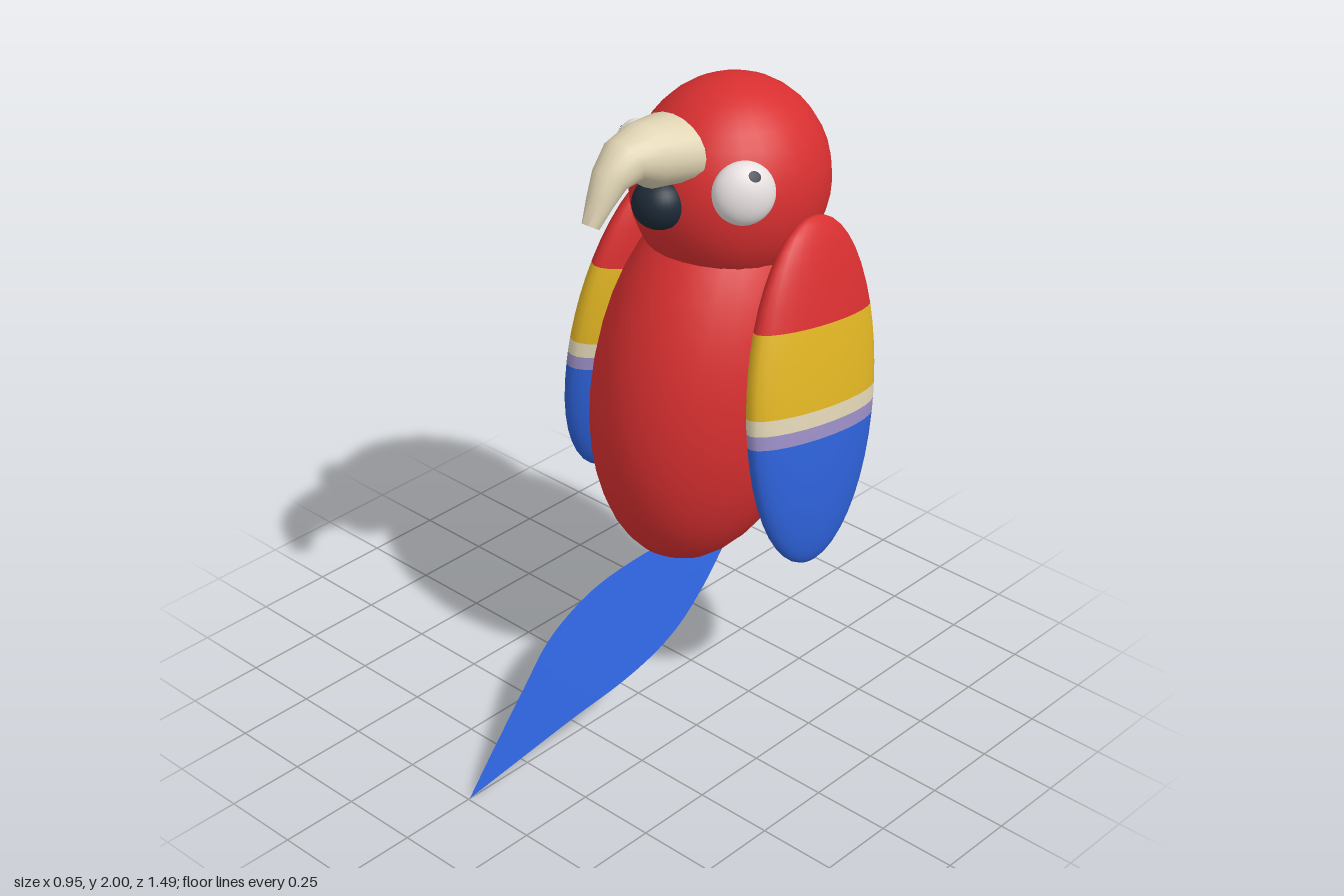
import * as THREE from 'three';
import { toCreasedNormals } from 'three/addons/utils/BufferGeometryUtils.js';

const mat = (name, color, side = THREE.FrontSide) => {
  const m = new THREE.MeshStandardMaterial({ color, side });
  m.name = name;
  return m;
};

export function createModel() {
  const red = mat('red feathers', 0xd82f30);
  const yellow = mat('yellow feathers', 0xe0b423);
  const cream = mat('cream', 0xe0d4b4);
  const lavender = mat('lavender feathers', 0x9a8ec4);
  const blue = mat('blue feathers', 0x2e62da);
  const tailBlue = mat('tail blue', 0x2e62da, THREE.DoubleSide);
  const white = mat('eye white', 0xe6dfdf);
  const dark = mat('dark slate', 0x1d2a38);

  const model = new THREE.Group();
  model.name = 'parrot';
  const add = (parent, name, geometry, material) => {
    const mesh = new THREE.Mesh(geometry, material);
    mesh.name = name;
    parent.add(mesh);
    return mesh;
  };
  const ball = new THREE.SphereGeometry(1, 28, 20);

  // Body leaning back, with the head resting on it
  const body = add(model, 'body', ball, red);
  body.position.set(0, 1.06, -0.325);
  body.scale.set(0.33, 0.622, 0.4);
  body.rotation.x = -0.262;
  const head = add(model, 'head', ball, red);
  head.position.set(0, 1.68, -0.4);
  head.scale.set(0.29, 0.322, 0.322);

  // Wings: ellipsoids cut into colour bands (upper limit of each band)
  const bands = [
    ['shoulderBand', 1, red], ['yellowBand', 0.43, yellow], ['creamBand', -0.04, cream],
    ['lavenderBand', -0.13, lavender], ['blueBand', -0.21, blue],
  ];
  for (const s of [1, -1]) {
    const wing = new THREE.Group();
    wing.name = s > 0 ? 'leftWing' : 'rightWing';
    bands.forEach(([name, top, material], i) => {
      const start = Math.acos(top);
      const end = Math.acos(i < 4 ? bands[i + 1][1] : -1);
      const rows = Math.max(2, Math.ceil((end - start) / 0.15));
      add(wing, name, new THREE.SphereGeometry(1, 28, rows, 0, Math.PI * 2, start, end - start), material);
    });
    wing.position.set(s * 0.36, 1.097, -0.375);
    wing.scale.set(0.09, 0.547, 0.284);
    wing.rotation.set(-0.14, 0, s * 0.132);
    model.add(wing);

    // Flattened eye with a thin pupil cap
    const eye = new THREE.Group();
    eye.name = s > 0 ? 'leftEye' : 'rightEye';
    const out = new THREE.Vector3(s * 0.8, 0.2, 0.55).normalize();
    eye.position.set(s * 0.222, 1.766, -0.205);
    eye.quaternion.setFromUnitVectors(new THREE.Vector3(0, 0, 1), out);
    eye.scale.set(0.095, 0.095, 0.058);
    add(eye, 'eyeball', ball, white);
    const pupil = add(eye, 'pupil', new THREE.SphereGeometry(1.03, 14, 4, 0, Math.PI * 2, 0, 0.2), dark);
    pupil.quaternion.setFromUnitVectors(new THREE.Vector3(0, 1, 0),
      new THREE.Vector3(s * 0.17, 0.6, 0.76).normalize());
    model.add(eye);
  }

  // Hooked upper beak: elliptical sections [z, y, half width, half height, downward tilt]
  const sections = [
    [-0.145, 1.863, 0.13, 0.103, 0], [-0.02, 1.876, 0.102, 0.1, 0.03], [0.06, 1.885, 0.078, 0.072, 0.35],
    [0.12, 1.848, 0.056, 0.055, 0.8], [0.16, 1.79, 0.041, 0.041, 1.0], [0.198, 1.728, 0.026, 0.028, 1.02],
  ];
  const sides = 20, last = sections.length - 1;
  const points = [], faces = [];
  sections.forEach(([z, y, w, h, tilt], r) => {
    for (let i = 0; i < sides; i++) {
      const a = (i / sides) * Math.PI * 2, up = Math.sin(a) * h;
      points.push(Math.cos(a) * w, y + up * Math.cos(tilt), z + up * Math.sin(tilt));
      if (r === last) continue;
      const p = r * sides + i, q = r * sides + (i + 1) % sides;
      faces.push(p, q, q + sides, p, q + sides, p + sides);
    }
  });
  // Close both ends of the beak
  for (const r of [0, last]) {
    const centre = points.length / 3;
    points.push(0, sections[r][1], sections[r][0]);
    for (let i = 0; i < sides; i++) {
      const p = r * sides + i, q = r * sides + (i + 1) % sides;
      faces.push(centre, ...(r === 0 ? [q, p] : [p, q]));
    }
  }
  const beakShape = new THREE.BufferGeometry();
  beakShape.setAttribute('position', new THREE.Float32BufferAttribute(points, 3));
  beakShape.setIndex(faces);
  add(model, 'upperBeak', toCreasedNormals(beakShape, 0.9), cream);

  // Round lower beak
  const lowerBeak = add(model, 'lowerBeak', ball, dark);
  lowerBeak.position.set(0, 1.705, -0.09);
  lowerBeak.scale.set(0.082, 0.08, 0.085);

  // Leaf-shaped tail sheet; each curve point holds half width, height and depth
  const tailCurve = new THREE.CatmullRomCurve3([
    [0, 0.49, -0.49], [0.07, 0.447, -0.32], [0.13, 0.4, -0.16], [0.17, 0.345, 0], [0.175, 0.3, 0.12],
    [0.158, 0.25, 0.25], [0.11, 0.18, 0.4], [0.05, 0.085, 0.59], [0, 0.005, 0.745],
  ].map((p) => new THREE.Vector3(...p)));
  const tail = new THREE.PlaneGeometry(2, 1, 4, 32);
  const pos = tail.attributes.position;
  for (let i = 0; i < pos.count; i++) {
    const p = tailCurve.getPoint(THREE.MathUtils.clamp(0.5 - pos.getY(i), 0, 1));
    pos.setXYZ(i, pos.getX(i) * p.x, Math.max(p.y, 0), p.z);
  }
  tail.computeVertexNormals();
  add(model, 'tail', tail, tailBlue);

  return model;
}
